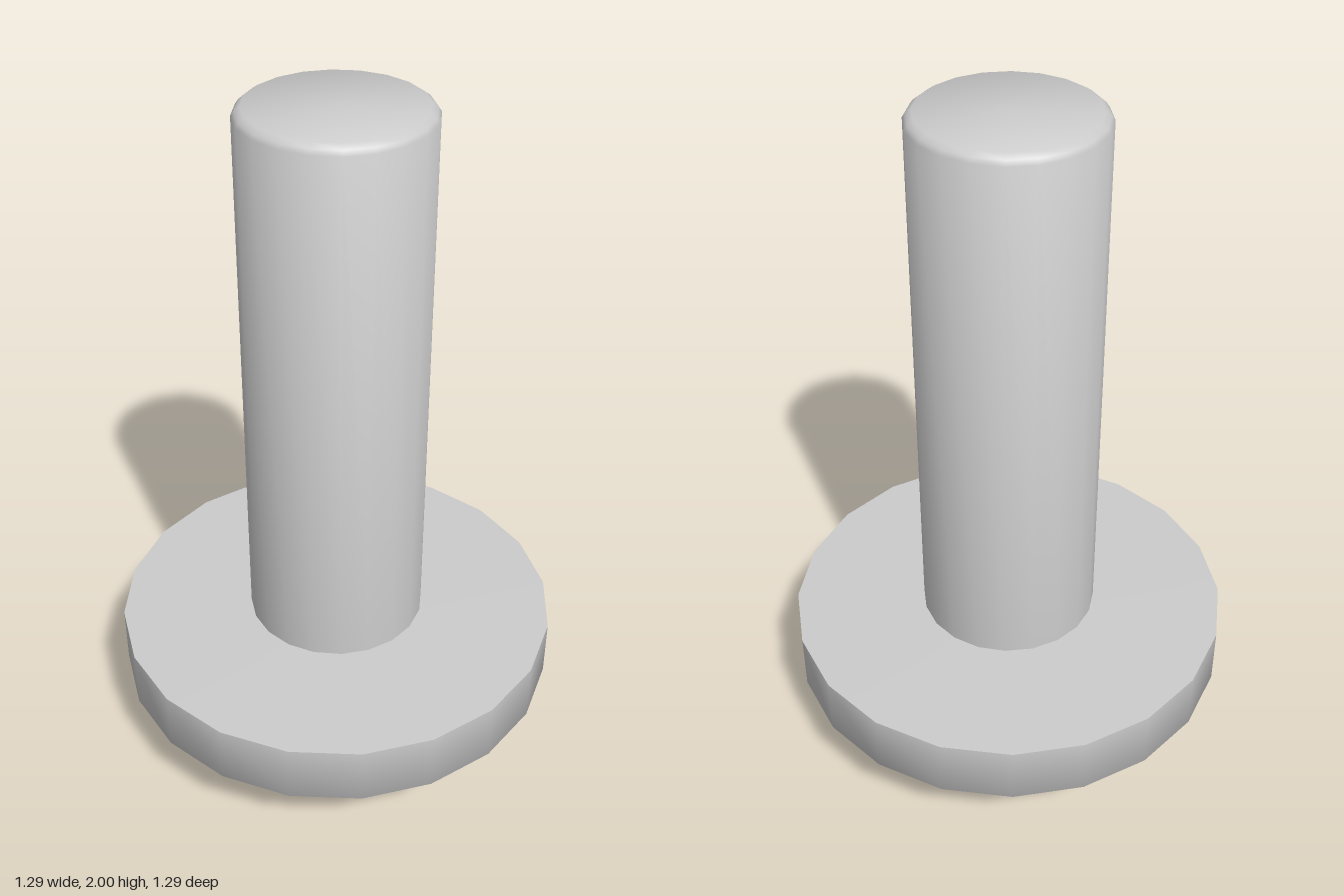
import * as THREE from 'three';
import { toCreasedNormals } from 'three/addons/utils/BufferGeometryUtils.js';

const SIDES = 20;

// Turned part from a bottom-to-top list of [radius, height]
function turned(name, profile, material) {
  const points = profile.map(([r, y]) => new THREE.Vector2(r, y));
  const geometry = toCreasedNormals(new THREE.LatheGeometry(points, SIDES), 1);
  const mesh = new THREE.Mesh(geometry, material);
  mesh.name = name;
  return mesh;
}

export function createModel() {
  const group = new THREE.Group();
  group.name = 'rivet';
  const material = new THREE.MeshStandardMaterial({ color: 0xcccccc });

  // Domed head with a short straight rim and a nearly flat upper face
  const head = turned('head', [
    [0, 0], [0.21, 0.025], [0.41, 0.08], [0.55, 0.16],
    [0.643, 0.25], [0.643, 0.425], [0.25, 0.432], [0, 0.432],
  ], material);

  // Round shank with a small chamfer at its tip
  const shank = turned('shank', [
    [0.258, 0.4], [0.258, 1.977], [0.25, 1.989], [0.235, 2], [0, 2],
  ], material);
  shank.rotation.y = THREE.MathUtils.degToRad(-3);

  group.add(head, shank);
  return group;
}
